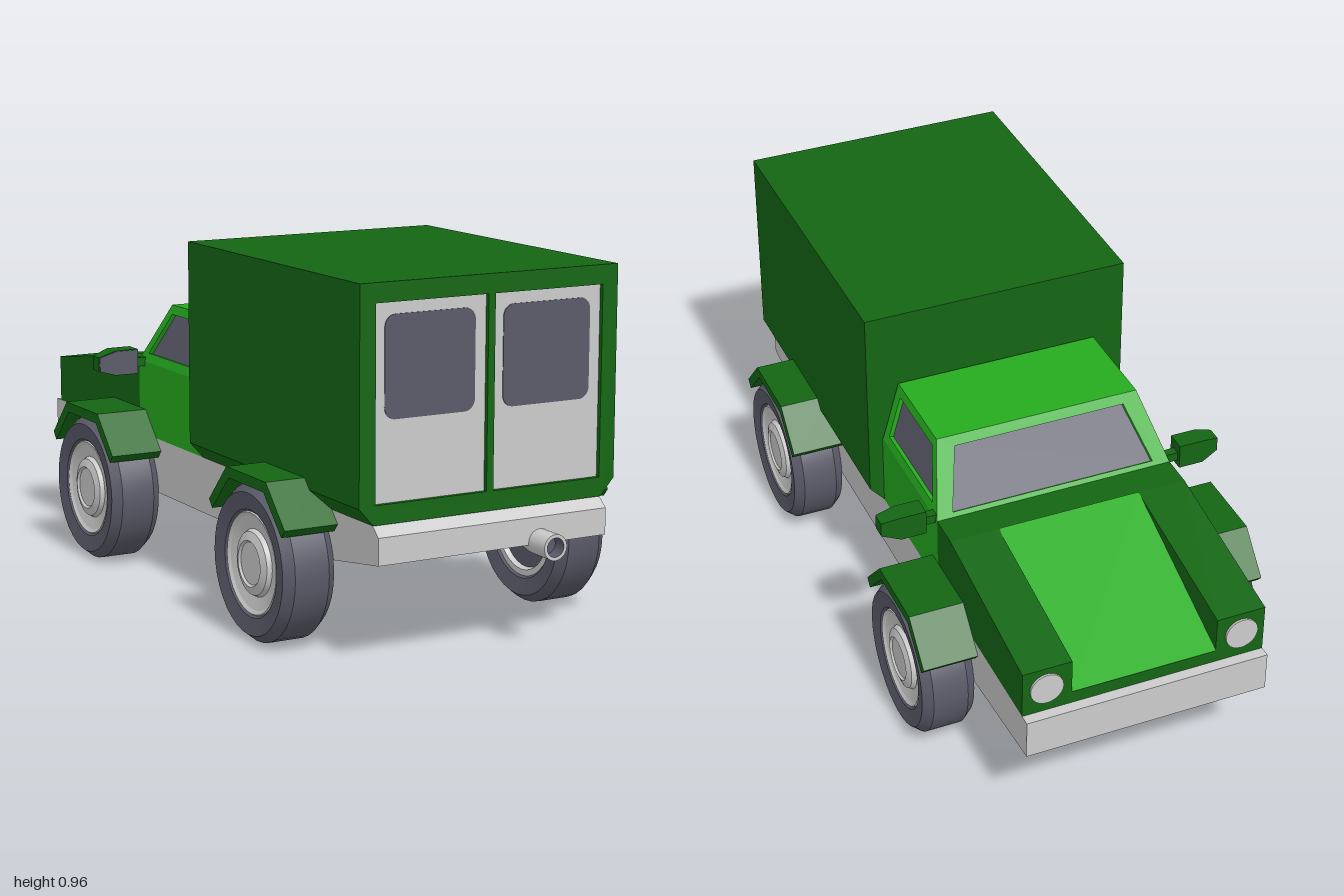
import * as THREE from 'three';
import { toCreasedNormals } from 'three/addons/utils/BufferGeometryUtils.js';
import { ConvexGeometry } from 'three/addons/geometries/ConvexGeometry.js';

const mat = (color, flatShading = true) =>
  new THREE.MeshStandardMaterial({ color, flatShading, side: THREE.DoubleSide });
const grey = mat(0xcccccc), smoothGrey = mat(0xcccccc, false);
const darkGreen = mat(0x146614), green = mat(0x26ac1f);
const dark = mat(0x5a5b69), tyreDark = mat(0x5a5b69, false);

function add(parent, name, geometry, material, x = 0, y = 0, z = 0) {
  const mesh = new THREE.Mesh(geometry, material);
  mesh.name = name;
  mesh.position.set(x, y, z);
  parent.add(mesh);
  return mesh;
}

const shapeOf = (pts) => new THREE.Shape(pts.map((p) => new THREE.Vector2(p[0], p[1])));
const extrude = (shape, depth) =>
  new THREE.ExtrudeGeometry(shape, { depth, bevelEnabled: false, curveSegments: 6 });

// side profile given as [z, y], extruded across x and centred
function sideProfile(pts, width) {
  return extrude(shapeOf(pts), width).translate(0, 0, -width / 2).rotateY(-Math.PI / 2);
}

// flat quads, corners counter-clockwise from outside
function quads(list) {
  const pos = [];
  for (const [a, b, c, d] of list) pos.push(...a, ...b, ...c, ...a, ...c, ...d);
  const g = new THREE.BufferGeometry();
  g.setAttribute('position', new THREE.Float32BufferAttribute(pos, 3));
  g.computeVertexNormals();
  return g;
}

function rect(x0, y0, x1, y1) {
  return [[x0, y0], [x1, y0], [x1, y1], [x0, y1]];
}

function roundedRect(x, y, w, h, r) {
  const s = new THREE.Shape();
  s.moveTo(x + r, y);
  s.lineTo(x + w - r, y).absarc(x + w - r, y + r, r, -Math.PI / 2, 0);
  s.lineTo(x + w, y + h - r).absarc(x + w - r, y + h - r, r, 0, Math.PI / 2);
  s.lineTo(x + r, y + h).absarc(x + r, y + h - r, r, Math.PI / 2, Math.PI);
  s.lineTo(x, y + r).absarc(x + r, y + r, r, Math.PI, Math.PI * 1.5);
  return s;
}

// cargo box with a framed pair of rear doors
function cargoBox() {
  const g = new THREE.Group();
  g.name = 'cargoBox';
  const outline = [[-0.335, 0.365], [0.335, 0.365], [0.375, 0.41], [0.375, 0.96], [-0.375, 0.96], [-0.375, 0.41]];
  add(g, 'boxBody', extrude(shapeOf(outline), 0.895), darkGreen, 0, 0, -0.01);
  const frame = shapeOf(outline);
  for (const x of [-0.33, 0.01]) frame.holes.push(shapeOf(rect(x, 0.415, x + 0.32, 0.91)));
  add(g, 'doorFrame', extrude(frame, 0.02), darkGreen, 0, 0, 0.885);
  for (const s of [-1, 1]) {
    add(g, 'rearDoor', new THREE.BoxGeometry(0.32, 0.495, 0.008), grey, s * 0.17, 0.6625, 0.889);
    add(g, 'rearDoorWindow', extrude(roundedRect(-0.129, -0.129, 0.258, 0.258, 0.03), 0.003),
      dark, s * 0.17, 0.75, 0.892);
  }
  return g;
}

// cab with recessed windows
function cab() {
  const g = new THREE.Group();
  g.name = 'cab';
  add(g, 'cabLower', new THREE.BoxGeometry(0.67, 0.21, 0.4), green, 0, 0.47, -0.21);
  const faces = [], panes = [];
  // a frame around an opening, walls going in, and a pane at the bottom
  const framed = (outer, inner, depth) => {
    const back = inner.map((p) => p.map((v, i) => v - depth[i]));
    for (let i = 0; i < 4; i++) {
      const j = (i + 1) % 4;
      faces.push([outer[i], outer[j], inner[j], inner[i]], [inner[i], inner[j], back[j], back[i]]);
    }
    panes.push(back);
  };
  const flip = (pts) => pts.map(([x, y, z]) => [-x, y, z]).reverse();
  const side = [[0.335, 0.575, -0.015], [0.335, 0.575, -0.41], [0.287, 0.745, -0.29], [0.287, 0.745, -0.015]];
  const opening = [[0.328, 0.6, -0.045], [0.328, 0.6, -0.36], [0.294, 0.72, -0.277], [0.294, 0.72, -0.045]];
  framed(side, opening, [0.012, 0.003, 0]);
  framed(flip(side), flip(opening), [-0.012, 0.003, 0]);
  const windscreen = [[-0.335, 0.575, -0.41], [-0.287, 0.745, -0.29], [0.287, 0.745, -0.29], [0.335, 0.575, -0.41]];
  const glass = [[-0.288, 0.586, -0.402], [-0.242, 0.722, -0.306], [0.242, 0.722, -0.306], [0.288, 0.586, -0.402]];
  framed(windscreen, glass, [0, 0.007, -0.01]);
  const [a, , c, d] = side;
  const m = ([x, y, z]) => [-x, y, z];
  faces.push([d, c, m(c), m(d)], [m(a), a, d, m(d)]);
  add(g, 'cabUpper', quads(faces), green);
  add(g, 'cabWindows', quads(panes), dark);
  return g;
}

// sloping hood sunk between two raised wings with headlights
function hood() {
  const g = new THREE.Group();
  g.name = 'hood';
  const wing = [[-0.41, 0.365], [-0.41, 0.575], [-0.5, 0.575], [-0.97, 0.5], [-0.97, 0.365]];
  const middle = wing.map(([z, y]) => [z, y === 0.5 ? 0.4 : y]);
  add(g, 'hoodMiddle', sideProfile(middle, 0.4), darkGreen);
  add(g, 'hoodPanel', quads([[[-0.2, 0.578, -0.502], [0.2, 0.578, -0.502], [0.2, 0.403, -0.972], [-0.2, 0.403, -0.972]]]), green);
  for (const s of [-1, 1]) {
    add(g, 'hoodWing', sideProfile(wing, 0.135), darkGreen, s * 0.2675);
    add(g, 'headlight', new THREE.CylinderGeometry(0.045, 0.045, 0.012, 24).rotateX(Math.PI / 2),
      smoothGrey, s * 0.27, 0.438, -0.97);
  }
  return g;
}

// lathe turned so its axis runs along x, points as [radius, x]
function turned(pts) {
  const g = new THREE.LatheGeometry(pts.map((p) => new THREE.Vector2(p[0], p[1])), 36);
  return toCreasedNormals(g.rotateZ(-Math.PI / 2), 0.3);
}

const tyreGeo = turned([[0.125, -0.05], [0.14, -0.066], [0.185, -0.073], [0.205, -0.048], [0.205, 0.048],
  [0.185, 0.073], [0.14, 0.066], [0.125, 0.05]]);
const rimGeo = turned([[0.138, 0.055], [0.132, 0.064], [0.122, 0.058], [0.088, 0.05], [0.082, 0.062],
  [0.06, 0.07], [0.055, 0.064], [0, 0.064]]);
const innerRimGeo = turned([[0.112, -0.045], [0.118, -0.06], [0.138, -0.06]]);

function wheel(s, z) {
  const g = new THREE.Group();
  g.name = 'wheel';
  add(g, 'tyre', tyreGeo, tyreDark);
  add(g, 'rim', rimGeo, smoothGrey);
  add(g, 'innerRim', innerRimGeo, smoothGrey);
  add(g, 'innerDisc', turned([[0, -0.046], [0.125, -0.046]]), tyreDark);
  g.position.set(s * 0.409, 0.205, z);
  if (s < 0) g.rotation.y = Math.PI;
  return g;
}

function mirror(s) {
  const g = new THREE.Group();
  g.name = 'sideMirror';
  // box tapering at its outer end
  const pts = [];
  for (const [x, h, z0, z1] of [[0.365, 0.035, -0.41, -0.355], [0.435, 0.035, -0.41, -0.355], [0.485, 0.02, -0.395, -0.355]])
    for (const y of [-h, h]) for (const z of [z0, z1]) pts.push(new THREE.Vector3(s * x, 0.581 + y, z));
  add(g, 'mirrorHousing', new ConvexGeometry(pts), darkGreen);
  const glass = [[0.367, -0.033], [0.434, -0.033], [0.483, -0.019], [0.483, 0.019], [0.434, 0.033], [0.367, 0.033]];
  add(g, 'mirrorGlass', extrude(shapeOf(glass.map(([x, y]) => [s * x, y])), 0.003), dark, 0, 0.581, -0.355);
  add(g, 'mirrorArm', new THREE.BoxGeometry(0.06, 0.025, 0.025), darkGreen, s * 0.345, 0.575, -0.385);
  return g;
}

export function createModel() {
  const model = new THREE.Group();
  model.name = 'truck';
  // chassis with bumpers at both ends
  add(model, 'chassis', sideProfile([[0.9, 0.365], [-1, 0.365], [-1, 0.255], [-0.475, 0.21],
    [0.53, 0.21], [0.93, 0.27], [0.93, 0.34]].reverse(), 0.67), grey);
  model.add(cargoBox(), cab(), hood());

  // wheels, arched mudguards and mirrors
  const guard = [[-0.205, 0.333], [-0.107, 0.437], [0.107, 0.437], [0.205, 0.333],
    [0.187, 0.312], [0.094, 0.409], [-0.094, 0.409], [-0.187, 0.312]];
  for (const s of [-1, 1]) {
    for (const z of [0.53, -0.475]) {
      model.add(wheel(s, z));
      add(model, 'mudguard', sideProfile(guard, 0.155), darkGreen, s * 0.4075, 0, z - 0.004);
    }
    model.add(mirror(s));
  }

  // exhaust pipe, bent up into the chassis
  const v = (y, z) => new THREE.Vector3(0.135, y, z);
  const path = new THREE.CurvePath();
  path.add(new THREE.LineCurve3(v(0.275, 1), v(0.275, 0.93)));
  path.add(new THREE.QuadraticBezierCurve3(v(0.275, 0.93), v(0.275, 0.9), v(0.3, 0.84)));
  add(model, 'exhaustPipe', new THREE.TubeGeometry(path, 12, 0.034, 20), smoothGrey);
  add(model, 'exhaustRim', new THREE.RingGeometry(0.025, 0.034, 20), smoothGrey, 0.135, 0.275, 1);
  add(model, 'exhaustInside', new THREE.CylinderGeometry(0.025, 0.025, 0.04, 20, 1, true).rotateX(Math.PI / 2),
    tyreDark, 0.135, 0.275, 0.98);
  add(model, 'exhaustEnd', new THREE.CircleGeometry(0.025, 20), tyreDark, 0.135, 0.275, 0.962);
  return model;
}
